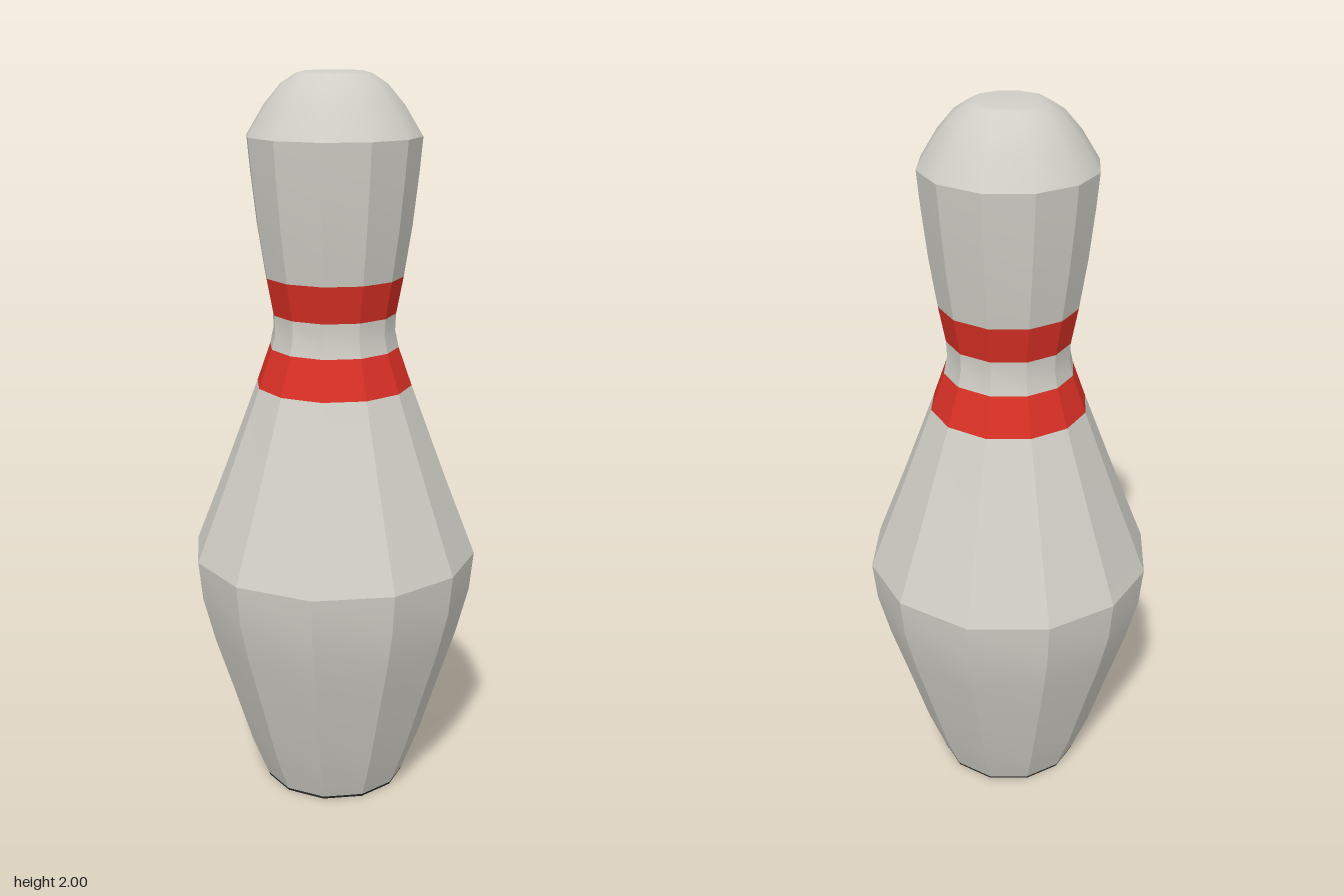
import * as THREE from 'three';
import { toCreasedNormals } from 'three/addons/utils/BufferGeometryUtils.js';

const SIDES = 12;

// Slightly uneven twelve-sided section: nudges the angles inside each quadrant.
function adjustAngles(geometry) {
  const p = geometry.attributes.position;
  for (let i = 0; i < p.count; i++) {
    const x = p.getX(i), z = p.getZ(i), r = Math.hypot(x, z);
    if (r < 1e-5) continue;
    const a = Math.atan2(Math.abs(z), Math.abs(x));
    const b = a - 0.04 * Math.sin(2 * a);
    p.setXYZ(i, Math.sign(x) * r * Math.cos(b), p.getY(i), Math.sign(z) * r * Math.sin(b));
  }
  return geometry;
}

export function createModel() {
  const group = new THREE.Group();
  const mat = (name, color) => {
    const m = new THREE.MeshStandardMaterial({ color });
    m.name = name;
    return m;
  };
  const white = mat('ivory white', 0xd0cec6);
  const red = mat('stripe red', 0xd93025);
  const dark = mat('base black', 0x2b2b2b);

  // Turned section; creased parts keep vertical facets but stay smooth in profile.
  const turn = (name, material, profile, smooth = false) => {
    let g = new THREE.LatheGeometry(profile.map(([r, y]) => new THREE.Vector2(r, y)), SIDES);
    adjustAngles(g);
    if (!smooth) g = toCreasedNormals(g, 0.42);
    const mesh = new THREE.Mesh(g, material);
    mesh.name = name;
    group.add(mesh);
  };

  // Base and body
  turn('base', dark, [[0, 0], [0.2, 0], [0.203, 0.008]]);
  turn('lowerBody', white, [[0.203, 0.008], [0.25, 0.13], [0.305, 0.31], [0.352, 0.46], [0.385, 0.59], [0.396, 0.7]]);
  turn('upperBody', white, [[0.396, 0.7], [0.31, 0.92], [0.213, 1.178]]);

  // Neck with its two stripes
  turn('lowerStripe', red, [[0.213, 1.178], [0.176, 1.283]]);
  turn('neck', white, [[0.176, 1.283], [0.166, 1.33], [0.168, 1.375]]);
  turn('upperStripe', red, [[0.168, 1.375], [0.187, 1.475]]);

  // Head and rounded crown
  turn('head', white, [[0.187, 1.475], [0.208, 1.61], [0.224, 1.75], [0.232, 1.838]]);
  turn('crown', white, [[0.232, 1.838], [0.185, 1.915], [0.14, 1.968], [0.1, 1.994], [0.08, 2], [0, 2]], true);

  return group;
}
